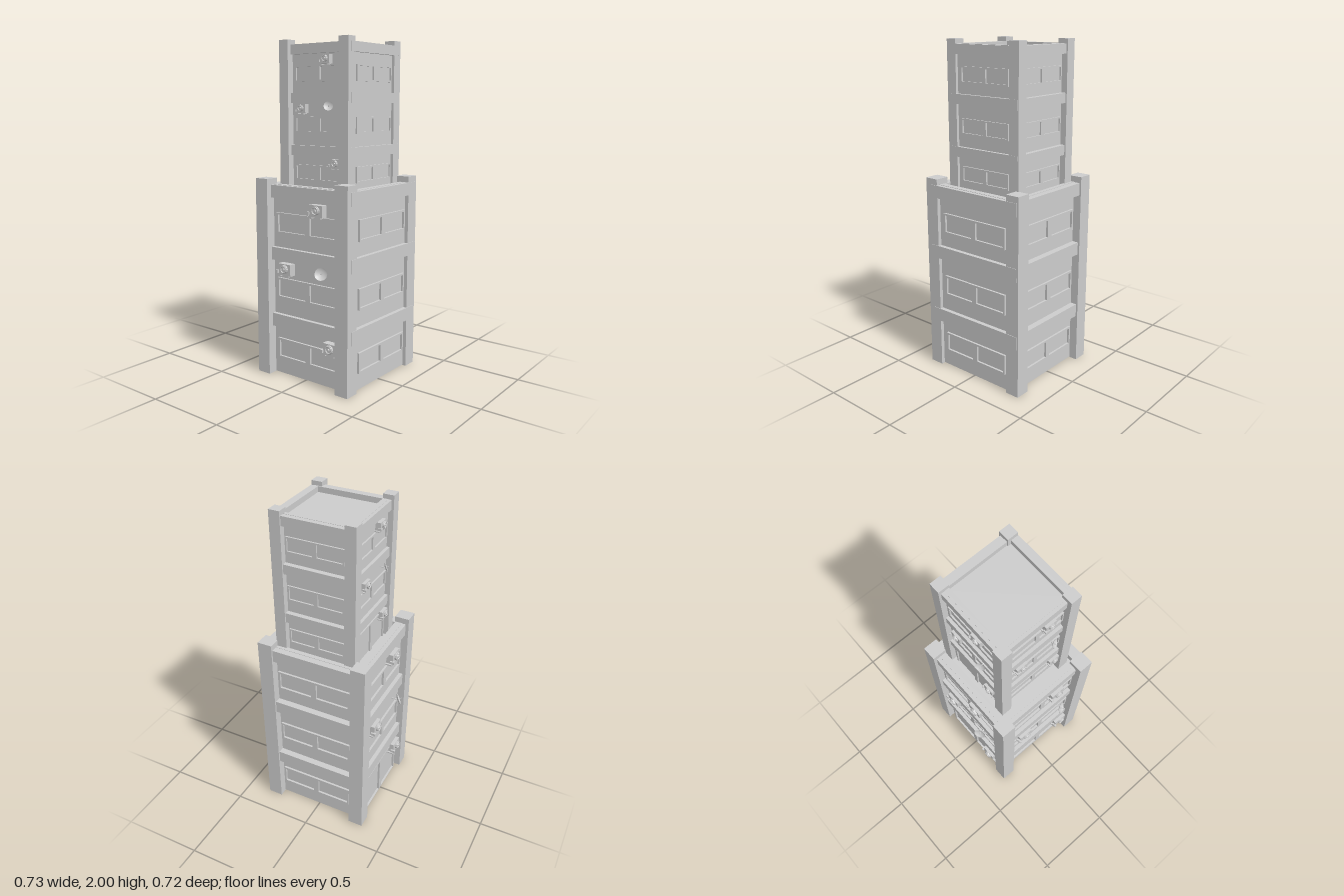
import * as THREE from 'three';

const grey = new THREE.MeshStandardMaterial({ color: 0xcccccc, flatShading: true });
const thin = new THREE.MeshStandardMaterial({ color: 0xcccccc, side: THREE.DoubleSide });

function add(parent, name, geometry, x = 0, y = 0, z = 0, material = grey) {
  const mesh = new THREE.Mesh(geometry, material);
  mesh.name = name;
  mesh.position.set(x, y, z);
  parent.add(mesh);
  return mesh;
}

// Box given by its minimum and maximum corners
function span(parent, name, x0, x1, y0, y1, z0, z1) {
  return add(parent, name, new THREE.BoxGeometry(x1 - x0, y1 - y0, z1 - z0),
    (x0 + x1) / 2, (y0 + y1) / 2, (z0 + z1) / 2);
}

function rect(path, x0, x1, y0, y1) {
  path.moveTo(x0, y0);
  path.lineTo(x1, y0);
  path.lineTo(x1, y1);
  path.lineTo(x0, y1);
  path.closePath();
  return path;
}

// Flat plate with rectangular holes, each [x0, x1, y0, y1]
function plate(outer, holes, depth) {
  const shape = rect(new THREE.Shape(), ...outer);
  for (const h of holes) shape.holes.push(rect(new THREE.Path(), ...h));
  return new THREE.ExtrudeGeometry(shape, { depth, bevelEnabled: false });
}

// Rectangular ring lying flat; bounds are [x0, x1, z0, z1]
function ring(parent, name, o, i, y0, y1) {
  const flip = ([x0, x1, z0, z1]) => [x0, x1, -z1, -z0];
  const geometry = plate(flip(o), [flip(i)], y1 - y0).rotateX(-Math.PI / 2);
  return add(parent, name, geometry, 0, y0, 0);
}

// Two-pane window frame standing on a wall plane
function windowFrame(face, name, y0, y1, door = false) {
  const a = -0.229, b = 0.241, mid = 0.006, t = 0.012, m = 0.017;
  const low = y0 + (door ? 0.004 : t);
  const holes = [[a + t, mid - m, low, y1 - t], [mid + m, b - t, low, y1 - t]];
  add(face, name, plate([a, b, y0, y1], holes, 0.013));
}

// Wall-hung cooling unit with round fan, side valve and brackets
function coolingUnit(face, u, y) {
  const unit = new THREE.Group();
  unit.name = 'coolingUnit';
  unit.position.set(u, y, 0);
  face.add(unit);
  span(unit, 'unitBody', -0.04, 0.052, -0.028, 0.034, 0, 0.043);
  span(unit, 'unitTray', -0.052, 0.052, -0.036, -0.028, 0, 0.04);
  add(unit, 'fanHousing', new THREE.CylinderGeometry(0.026, 0.026, 0.01, 12).rotateX(Math.PI / 2), 0.01, 0.004, 0.048);
  add(unit, 'fanRim', new THREE.TorusGeometry(0.021, 0.004, 4, 12), 0.01, 0.004, 0.054);
  add(unit, 'fanHub', new THREE.CylinderGeometry(0.007, 0.009, 0.008, 8).rotateX(Math.PI / 2), 0.01, 0.004, 0.056);
  span(unit, 'valve', -0.05, -0.036, -0.022, -0.006, 0.025, 0.054);
  for (const s of [-0.03, 0.03]) span(unit, 'bracket', s - 0.005, s + 0.005, -0.044, -0.034, 0, 0.04);
}

// Satellite dish on an arm
function dish(face, u, y) {
  const group = new THREE.Group();
  group.name = 'dish';
  group.position.set(u, y, 0.048);
  group.rotation.set(-0.35, 0.5, 0, 'YXZ');
  face.add(group);
  const profile = [[0.001, 0], [0.016, 0.002], [0.029, 0.007], [0.037, 0.013]]
    .map(p => new THREE.Vector2(...p));
  add(group, 'dishBowl', new THREE.LatheGeometry(profile, 12).rotateX(Math.PI / 2), 0, 0, 0, thin);
  add(group, 'dishFeed', new THREE.CylinderGeometry(0.0015, 0.003, 0.032, 6).rotateX(Math.PI / 2), 0, 0, 0.016);
  const arm = add(face, 'dishArm', new THREE.CylinderGeometry(0.004, 0.004, 0.05, 6).rotateX(Math.PI / 2), u, y, 0.023);
  arm.castShadow = false;
}

function tier(name) {
  const group = new THREE.Group();
  group.name = name;

  // Core walls, sunken roof and parapet
  const wall = [-0.285, 0.31, -0.285, 0.328];
  const band = [-0.31, 0.35, -0.31, 0.354];
  const inner = [-0.247, 0.282, -0.243, 0.29];
  span(group, 'walls', wall[0], wall[1], 0.003, 1.12, wall[2], wall[3]);
  ring(group, 'parapet', wall, inner, 1.12, 1.165);

  // Floor bands around the core
  for (const [y0, y1] of [[0.3, 0.38], [0.712, 0.79]]) {
    span(group, 'floorBand', band[0], band[1], y0, y1, band[2], band[3]);
  }
  ring(group, 'topBand', band, inner, 1.087, 1.163);

  // Corner pillars
  for (const x of [-0.3, 0.317]) {
    for (const z of [-0.284, 0.306]) {
      add(group, 'cornerPillar', new THREE.BoxGeometry(0.088, 1.2, 0.09), x, 0.6, z);
    }
  }

  // Four faces: local x runs to the right, local z points outward
  const cx = 0.0125, cz = 0.0215;
  ['front', 'left', 'back', 'right'].forEach((side, i) => {
    const face = new THREE.Group();
    face.name = side + 'Face';
    const angle = i * Math.PI / 2;
    face.rotation.y = angle;
    face.position.set(cx + Math.sin(angle) * 0.2975, 0, cz + Math.cos(angle) * 0.3065);
    group.add(face);

    if (side === 'back') windowFrame(face, 'doorFrame', 0.003, 0.265, true);
    else windowFrame(face, 'windowFrame', 0.103, 0.227);
    for (const y of [0.48, 0.875]) windowFrame(face, 'windowFrame', y, y + 0.125);

    if (side === 'back' || side === 'right') {
      coolingUnit(face, 0.183, 0.25);
      coolingUnit(face, -0.153, 0.668);
      coolingUnit(face, 0.087, 1.04);
      dish(face, 0.137, 0.685);
    }
  });
  return group;
}

export function createModel() {
  const model = new THREE.Group();
  model.name = 'tower';
  model.add(tier('lowerTier'));

  // The upper tier repeats the lower one at a smaller scale
  const upper = tier('upperTier');
  upper.scale.setScalar(0.7375);
  upper.position.set(0.025, 1.115, 0.008);
  model.add(upper);
  return model;
}
